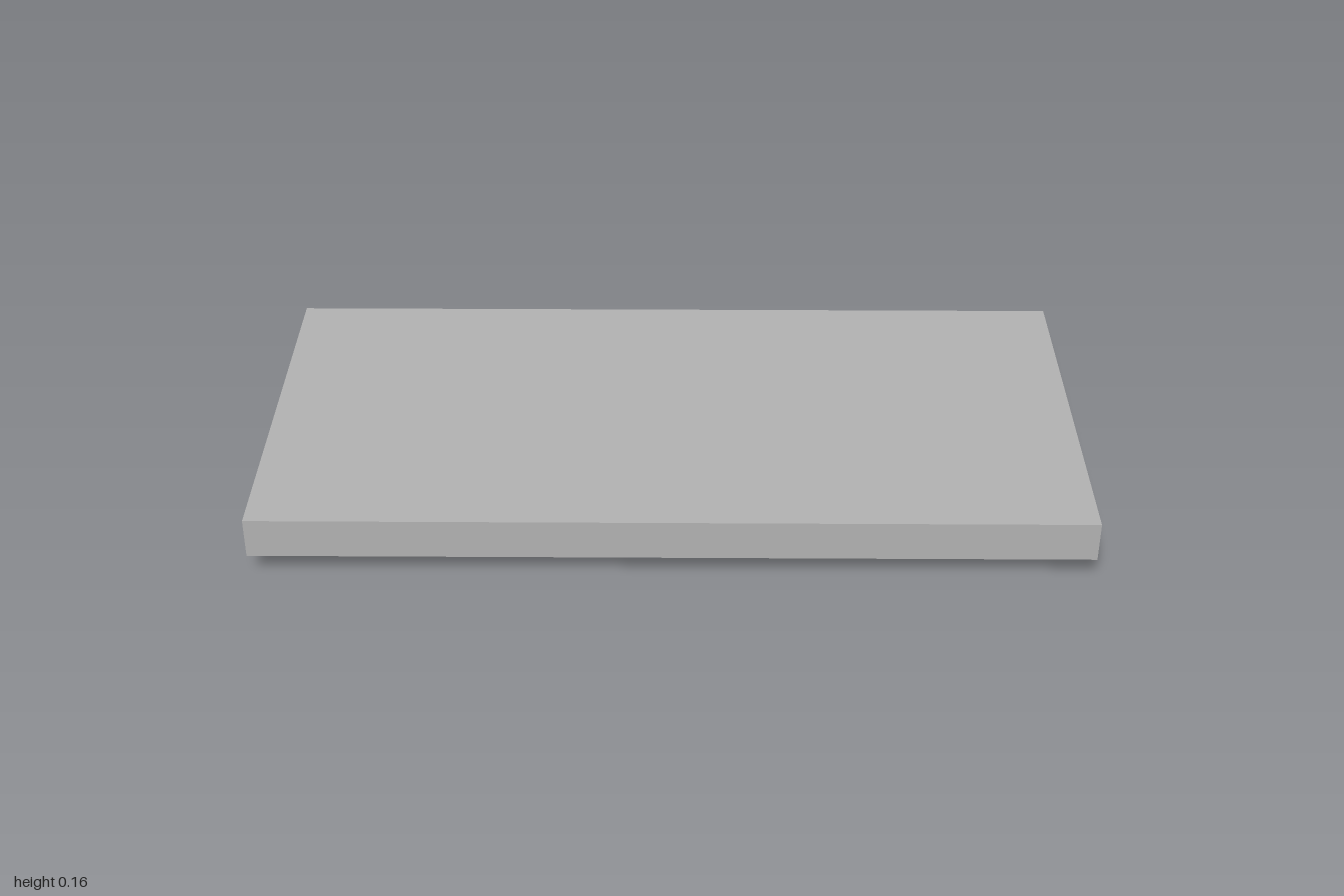
import * as THREE from 'three';
import { toCreasedNormals } from 'three/addons/utils/BufferGeometryUtils.js';

export function createModel() {
  const group = new THREE.Group();
  group.name = 'hingedLid';
  const grey = new THREE.MeshStandardMaterial({ color: 0xb2b2b2 });
  grey.name = 'plain grey';

  const width = 2, depth = 1, wall = 0.02;
  const bottom = 0.055, top = 0.155, centreZ = 0.0275;

  function rectangle(PathType, w, d) {
    const p = new PathType();
    p.moveTo(-w / 2, -d / 2);
    p.lineTo(w / 2, -d / 2);
    p.lineTo(w / 2, d / 2);
    p.lineTo(-w / 2, d / 2);
    p.closePath();
    return p;
  }

  // A horizontal slab from an outline, standing on height y
  function addSlab(name, shape, y, height) {
    const geometry = new THREE.ExtrudeGeometry(shape, { depth: height, bevelEnabled: false });
    geometry.rotateX(-Math.PI / 2);
    const mesh = new THREE.Mesh(geometry, grey);
    mesh.name = name;
    mesh.position.set(0, y, centreZ);
    group.add(mesh);
  }

  // Lid, hollow from below: a rim of four walls under a top panel
  const rim = rectangle(THREE.Shape, width, depth);
  rim.holes.push(rectangle(THREE.Path, width - 2 * wall, depth - 2 * wall));
  addSlab('rim', rim, bottom, top - wall - bottom);
  addSlab('topPanel', rectangle(THREE.Shape, width, depth), top - wall, wall);

  // Hinge side profile (z, y): rounded shoulder above, round barrel end below
  const r = 0.0275, inner = -0.4725, outer = inner - 2 * r;
  const profile = new THREE.Shape();
  profile.moveTo(inner, r);
  profile.lineTo(inner, 0.115);
  profile.lineTo(inner - 0.005, 0.115);
  profile.absarc(outer + 0.05, 0.065, 0.05, Math.PI / 2, Math.PI, false);
  profile.lineTo(outer, r);
  profile.absarc(inner - r, r, r, Math.PI, 2 * Math.PI, false);

  const hingeWidth = 0.094;
  const extruded = new THREE.ExtrudeGeometry(profile, {
    depth: hingeWidth, bevelEnabled: false, curveSegments: 16,
  });
  extruded.rotateY(-Math.PI / 2).translate(hingeWidth / 2, 0, 0);
  const hingeGeometry = toCreasedNormals(extruded, 0.6);

  for (const [name, side] of [['leftHinge', 1], ['rightHinge', -1]]) {
    const hinge = new THREE.Mesh(hingeGeometry, grey);
    hinge.name = name;
    hinge.position.x = side * 0.85;
    group.add(hinge);
  }
  return group;
}
